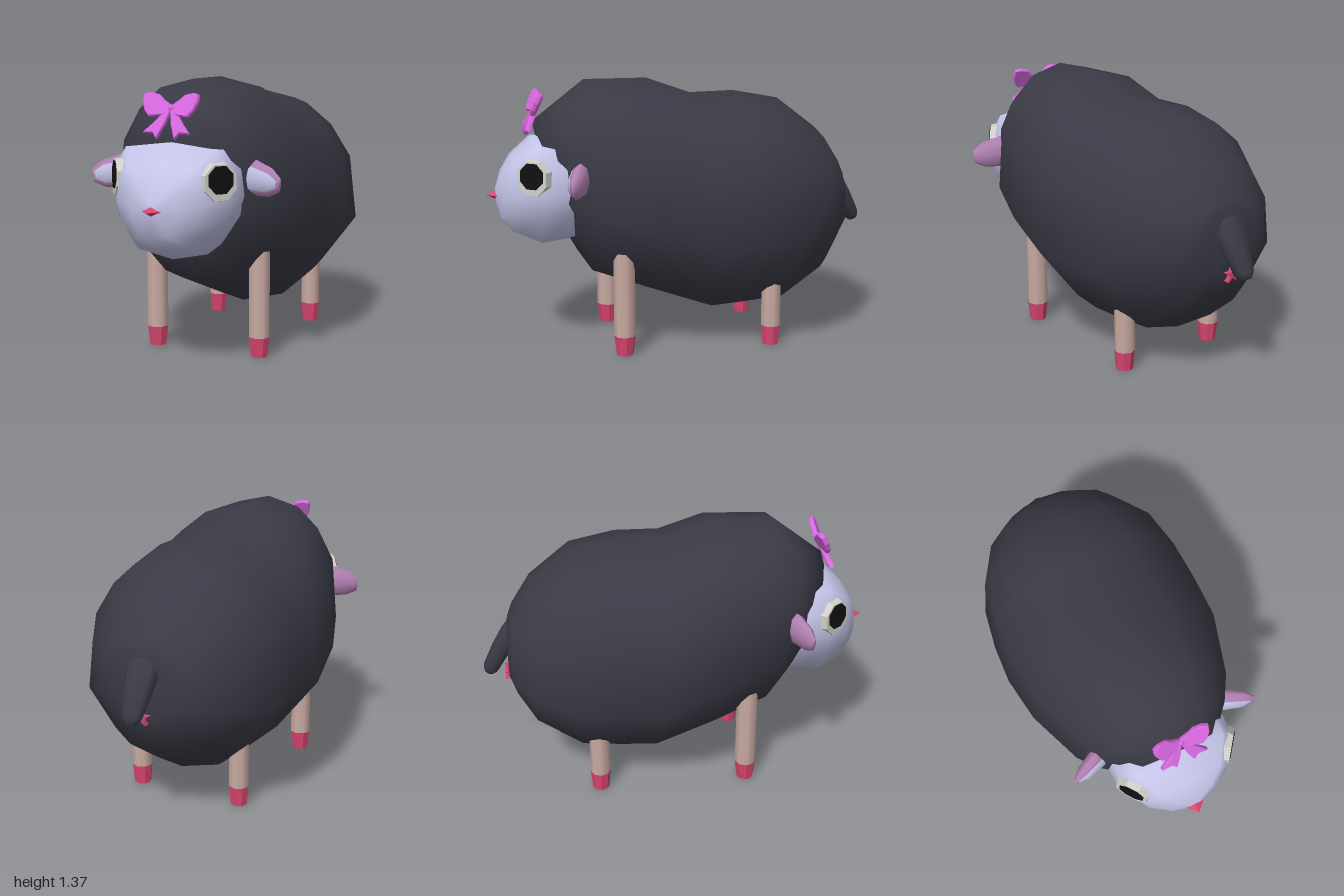
import * as THREE from 'three';

const mat = (color, flatShading = false) => new THREE.MeshStandardMaterial({ color, flatShading });
const wool = mat(0x3a3a46), skin = mat(0xc4c4e8), pink = mat(0xd8456f, true), earPink = mat(0xb482b4);
const legSkin = mat(0xc9aaa2), bowMat = mat(0xd868e0), white = mat(0xcfcfc8, true), black = mat(0x101010, true);

// Closed skin over rings of [x, y, z] points, ordered back to front, counterclockwise seen from +z
function loft(rings) {
  const n = rings[0].length, pos = [], idx = [], last = (rings.length - 1) * n;
  rings.forEach(r => r.forEach(p => pos.push(...p)));
  for (let i = 0; i < rings.length - 1; i++) for (let j = 0; j < n; j++) {
    const a = i * n + j, b = i * n + (j + 1) % n;
    idx.push(a, b, a + n, b, b + n, a + n);
  }
  [rings[0], rings[rings.length - 1]].forEach((r, k) => {
    const c = pos.length / 3;
    for (let m = 0; m < 3; m++) pos.push(r.reduce((s, p) => s + p[m], 0) / n);
    for (let j = 0; j < n; j++) {
      const q = (j + 1) % n;
      if (k) idx.push(c, last + j, last + q); else idx.push(c, q, j);
    }
  });
  const g = new THREE.BufferGeometry();
  g.setAttribute('position', new THREE.Float32BufferAttribute(pos, 3));
  g.setIndex(idx);
  g.computeVertexNormals();
  return g;
}

// Half outline (x share, height share) from bottom to top, mirrored and scaled to one ring
function section(half, [zb, zt, w, yt, yb]) {
  const full = [...half, ...half.slice(1, -1).reverse().map(([x, t]) => [-x, t])];
  return full.map(([x, t]) => [x * w, yb + t * (yt - yb), zb + t * (zt - zb)]);
}

const oval = (n, rx, ry, z, cx = 0) => Array.from({ length: n }, (_, i) => {
  const a = i / n * Math.PI * 2;
  return [cx + rx * Math.cos(a), ry * Math.sin(a), z];
});

export function createModel() {
  const model = new THREE.Group();
  const add = (name, geo, material, x = 0, y = 0, z = 0, parent = model) => {
    const m = new THREE.Mesh(geo, material);
    m.name = name;
    m.position.set(x, y, z);
    parent.add(m);
    return m;
  };

  // Woolly body: z at bottom, z at top, half width, top, bottom
  const bodyHalf = [[0, 0], [0.41, 0.05], [0.62, 0.14], [1, 0.38], [0.92, 0.69], [0.7, 0.85], [0.42, 0.955], [0, 1]];
  add('body', loft([
    [-0.86, -0.855, 0.15, 0.88, 0.56], [-0.82, -0.83, 0.26, 0.94, 0.47], [-0.73, -0.73, 0.38, 1.09, 0.32],
    [-0.5, -0.52, 0.51, 1.25, 0.175], [-0.3, -0.28, 0.545, 1.295, 0.16], [-0.12, -0.05, 0.555, 1.29, 0.15],
    [0.18, 0.18, 0.525, 1.37, 0.26], [0.47, 0.5, 0.42, 1.37, 0.37], [0.55, 0.63, 0.35, 1.27, 0.49],
    [0.6, 0.76, 0.25, 1.17, 0.58],
  ].map(s => section(bodyHalf, s))), wool);

  // Head
  const headHalf = [[0, 0], [0.6, 0.07], [0.92, 0.35], [1, 0.54], [0.96, 0.78], [0.76, 0.95], [0, 1]];
  add('head', loft([
    [0.5, 0.5, 0.28, 1.0, 0.6], [0.6, 0.63, 0.31, 1.08, 0.565], [0.74, 0.76, 0.3, 1.09, 0.54],
    [0.87, 0.87, 0.215, 1.0, 0.6], [0.935, 0.925, 0.12, 0.92, 0.67], [0.957, 0.957, 0.03, 0.83, 0.77],
  ].map(s => section(headHalf, s))), skin);

  // Nose
  const nose = add('nose', new THREE.ConeGeometry(0.06, 0.06, 4).rotateX(Math.PI / 2), pink, 0, 0.797, 0.97);
  nose.scale.y = 0.5;

  for (const s of [1, -1]) {
    const side = s > 0 ? 'left' : 'right';

    // Eye with pupil, turned outward
    const eye = new THREE.Group();
    eye.name = side + 'Eye';
    eye.position.set(s * 0.243, 0.92, 0.775);
    eye.lookAt(s * (0.243 + 0.8), 0.96, 0.775 + 0.6);
    model.add(eye);
    const disc = (r1, r2, d) => new THREE.CylinderGeometry(r1, r2, d, 8).rotateX(Math.PI / 2).rotateZ(Math.PI / 8);
    add('eyeball', disc(0.088, 0.106, 0.07), white, 0, 0, 0, eye);
    add('pupil', disc(0.068, 0.068, 0.01), black, 0, 0.012, 0.034, eye);

    // Ear with paler inner face
    const ear = new THREE.Group();
    ear.name = side + 'Ear';
    ear.position.set(s * 0.27, 0.93, 0.535);
    ear.lookAt(s * 0.485, 0.9, 0.625);
    model.add(ear);
    add('earShell', loft([oval(8, 0.035, 0.065, 0), oval(8, 0.047, 0.085, 0.08), oval(8, 0.035, 0.068, 0.18),
      oval(8, 0.012, 0.035, 0.235)]), earPink, 0, 0, 0, ear);
    add('innerEar', loft([oval(8, 0.02, 0.05, 0, -s * 0.022), oval(8, 0.025, 0.064, 0.08, -s * 0.027),
      oval(8, 0.02, 0.05, 0.18, -s * 0.02), oval(8, 0.008, 0.025, 0.225, -s * 0.008)]), skin, 0, 0, 0, ear);

    // Legs and hooves
    for (const [end, z, r, h] of [['Front', 0.35, 0.055, 0.55], ['Rear', -0.42, 0.052, 0.45]]) {
      add(side + end + 'Leg', new THREE.CylinderGeometry(r, r, h - 0.1, 8), legSkin, s * 0.28, (h + 0.1) / 2, z);
      add(side + end + 'Hoof', new THREE.CylinderGeometry(r, 0.043, 0.1, 8), pink, s * 0.28, 0.05, z);
    }
  }

  // Bow, leaning back on the forehead
  const bow = new THREE.Group();
  bow.name = 'bow';
  bow.position.set(0, 1.24, 0.735);
  bow.rotation.x = -0.46;
  model.add(bow);
  const ribbon = pts => new THREE.ExtrudeGeometry(new THREE.Shape(pts.map(p => new THREE.Vector2(...p))),
    { depth: 0.014, bevelThickness: 0.006, bevelSize: 0.004, bevelSegments: 1 }).translate(0, 0, -0.007);
  for (const s of [1, -1]) {
    add('bowLoop', ribbon([[0.005, -0.012], [0.04, -0.034], [0.1, -0.044], [0.122, -0.02], [0.138, 0.02],
      [0.138, 0.058], [0.11, 0.066], [0.07, 0.06], [0.04, 0.035], [0.005, 0.014]].map(([x, y]) => [s * x, y])),
    bowMat, 0, 0, 0, bow).rotation.y = -s * 0.2;
    add('bowTail', ribbon([[0.002, -0.012], [0.02, -0.08], [0.046, -0.146], [0.066, -0.118], [0.115, -0.122],
      [0.075, -0.08], [0.022, -0.012]].map(([x, y]) => [s * x, y])), bowMat, 0, 0, 0.004, bow);
  }
  add('bowKnot', new THREE.SphereGeometry(0.019, 8, 6), bowMat, 0, 0, 0.005, bow);

  // Tail hanging back and down
  const tail = add('tail', loft([oval(8, 0.07, 0.035, -0.03), oval(8, 0.088, 0.05, 0.06), oval(8, 0.075, 0.05, 0.16),
    oval(8, 0.052, 0.042, 0.27), oval(8, 0.025, 0.025, 0.302)]), wool, 0, 0.845, -0.825);
  tail.rotation.x = 2.07;

  // Small star mark under the tail
  const star = new THREE.Shape(Array.from({ length: 10 }, (_, i) => {
    const a = i * Math.PI / 5 + Math.PI / 2, r = i % 2 ? 0.016 : 0.045;
    return new THREE.Vector2(r * Math.cos(a), r * Math.sin(a));
  }));
  add('star', new THREE.ExtrudeGeometry(star, { depth: 0.035, bevelEnabled: false }), pink, 0, 0.58, -0.882);

  return model;
}
